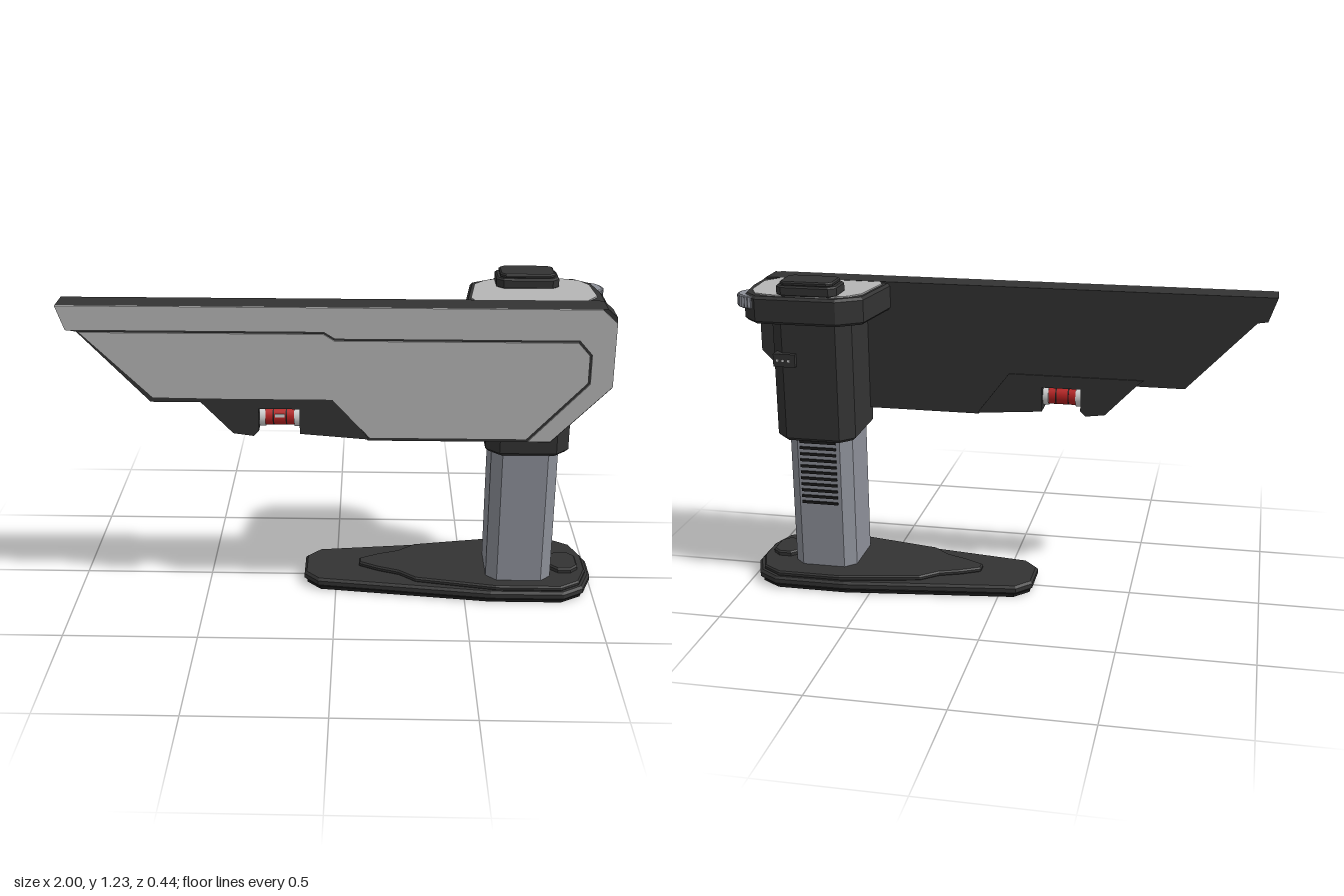
import * as THREE from 'three';

const mat = (name, color) => {
  const m = new THREE.MeshStandardMaterial({ color });
  m.name = name;
  return m;
};

export function createModel() {
  const model = new THREE.Group();
  model.name = 'armStand';
  const dark = mat('charcoal', 0x333333);
  const black = mat('black', 0x1b1b1b);
  const light = mat('lightGrey', 0xb6b6b6);
  const steel = mat('steelGrey', 0x8d9099);
  const red = mat('red', 0xb82222);
  const white = mat('white', 0xd8d8d8);

  const add = (name, geo, material, parent = model) => {
    const m = new THREE.Mesh(geo, material);
    m.name = name;
    parent.add(m);
    return m;
  };
  const extrude = (pts, depth, bevel) => new THREE.ExtrudeGeometry(
    new THREE.Shape(pts.map(p => new THREE.Vector2(p[0], p[1]))),
    { depth: depth - 2 * bevel, bevelEnabled: bevel > 0, bevelSize: bevel, bevelThickness: bevel,
      bevelOffset: -bevel, bevelSegments: 1, steps: 1 }).translate(0, 0, bevel);
  // Horizontal slab from an x/z outline
  const slab = (name, pts, y0, y1, bevel, material) => add(name,
    extrude(pts.map(p => [p[0], -p[1]]), y1 - y0, bevel).rotateX(-Math.PI / 2).translate(0, y0, 0), material);
  // Upright plate from an x/y outline
  const plate = (name, pts, z0, z1, bevel, material) =>
    add(name, extrude(pts, z1 - z0, bevel).translate(0, 0, z0), material);
  const box = (name, x0, x1, y0, y1, z0, z1, material) => add(name,
    new THREE.BoxGeometry(x1 - x0, y1 - y0, z1 - z0)
      .translate((x0 + x1) / 2, (y0 + y1) / 2, (z0 + z1) / 2), material);
  const mirrorZ = half => [...half, ...half.map(([x, z]) => [x, -z]).reverse()];
  const octagon = (x0, x1, z0, z1, c) => [
    [x0 + c, z0], [x1 - c, z0], [x1, z0 + c], [x1, z1 - c],
    [x1 - c, z1], [x0 + c, z1], [x0, z1 - c], [x0, z0 + c]];

  // Foot: sole, main plate and raised tier
  const foot = mirrorZ([[-0.125, 0.07], [-0.07, 0.13], [0.6, 0.218], [0.88, 0.218], [0.96, 0.165], [1, 0.06]]);
  slab('sole', foot.map(([x, z]) => [0.44 + (x - 0.44) * 0.98, z * 0.95]), 0, 0.014, 0, black);
  slab('footPlate', foot, 0.012, 0.047, 0.009, dark);
  slab('footTier', mirrorZ([[0.09, 0.02], [0.165, 0.06], [0.245, 0.09], [0.31, 0.145], [0.62, 0.205],
    [0.87, 0.205], [0.945, 0.155], [0.98, 0.06]]), 0.045, 0.066, 0.006, dark);
  slab('footButton', octagon(0.84, 0.95, -0.055, 0.09, 0.03), 0.06, 0.085, 0.006, dark);

  // Pillar with its row of height slots
  slab('pillar', octagon(0.585, 0.835, -0.115, 0.155, 0.04), 0.06, 0.62, 0, steel);
  for (let i = 0; i < 11; i++) {
    const y = 0.33 + i * 0.025;
    box('heightSlot', 0.64, 0.785, y, y + 0.01, -0.121, -0.113, black);
  }

  // Housing and sliding switch
  slab('housing', octagon(0.56, 0.87, -0.16, 0.18, 0.05), 0.6, 1.08, 0.012, dark);
  box('slideSwitch', 0.765, 0.85, 0.9, 0.95, -0.18, -0.13, dark);
  for (let i = 0; i < 3; i++) {
    const x = 0.785 + i * 0.022;
    box('switchDot', x, x + 0.008, 0.921, 0.929, -0.183, -0.179, white);
  }

  // Head with cover plate, button and thumb wheel
  slab('head', [[0.465, 0.11], [0.5, -0.15], [0.59, -0.21], [0.9, -0.21], [0.96, -0.15], [0.98, -0.03],
    [0.98, 0.11]], 1.07, 1.174, 0.01, dark);
  slab('coverPlate', [[0.49, 0.07], [0.515, -0.11], [0.555, -0.16], [0.63, -0.195], [0.85, -0.19],
    [0.91, -0.17], [0.942, -0.11], [0.95, 0.04], [0.9, 0.108], [0.505, 0.108]], 1.17, 1.179, 0, light);
  slab('topButtonBase', octagon(0.593, 0.825, -0.197, -0.05, 0.025), 1.175, 1.215, 0.006, dark);
  slab('topButtonCap', octagon(0.607, 0.811, -0.189, -0.06, 0.02), 1.213, 1.23, 0.005, dark);
  const wheel = [];
  for (let i = 0; i < 72; i++) {
    const a = i / 72 * Math.PI * 2, r = i % 2 ? 0.092 : 0.098;
    wheel.push([0.899 + r * Math.cos(a), -0.115 + r * Math.sin(a) * 0.82]);
  }
  slab('thumbWheel', wheel, 1.12, 1.168, 0.004, steel);

  // Long side wall
  plate('wallBody', [[-1, 1.18], [-0.968, 1.088], [-0.93, 1.082], [-0.675, 0.815], [-0.01, 0.815],
    [0.12, 0.67], [0.79, 0.67], [1, 0.885], [1, 1.15], [0.965, 1.18]], 0.1, 0.206, 0, dark);
  // Face panels, parted by a narrow groove
  plate('lowerPanel', [[-0.92, 1.081], [-0.665, 0.832], [-0.01, 0.832], [0.127, 0.682], [0.7, 0.682],
    [0.911, 0.905], [0.911, 1.008], [0.868, 1.056], [-0.002, 1.056], [-0.042, 1.081]],
  0.205, 0.213, 0, light);
  plate('upperPanel', [[-1, 1.18], [-0.968, 1.089], [-0.04, 1.089], [0, 1.064], [0.872, 1.064],
    [0.919, 1.011], [0.919, 0.9], [0.706, 0.674], [0.788, 0.674], [1, 0.89], [1, 1.13], [0.945, 1.18]],
  0.205, 0.213, 0, light);

  // Level holder with an open notch
  plate('levelHolder', [[-0.52, 0.84], [-0.5, 0.825], [-0.375, 0.695], [-0.3, 0.685], [-0.28, 0.705],
    [-0.28, 0.792], [-0.13, 0.792], [-0.13, 0.695], [0.125, 0.675], [0.0, 0.84]], 0.094, 0.209, 0, dark);

  // Spirit level
  const tube = (name, x, length, r, material) => add(name,
    new THREE.CylinderGeometry(r, r, length, 24).rotateZ(Math.PI / 2).translate(x, 0.748, 0.155), material);
  tube('vial', -0.204, 0.11, 0.036, red);
  for (const s of [-1, 1]) {
    tube('vialCap', -0.204 + s * 0.064, 0.022, 0.041, white);
    tube('vialRing', -0.204 + s * 0.024, 0.005, 0.0365, black);
  }
  box('bubble', -0.222, -0.186, 0.752, 0.764, 0.185, 0.192, white);

  return model;
}
